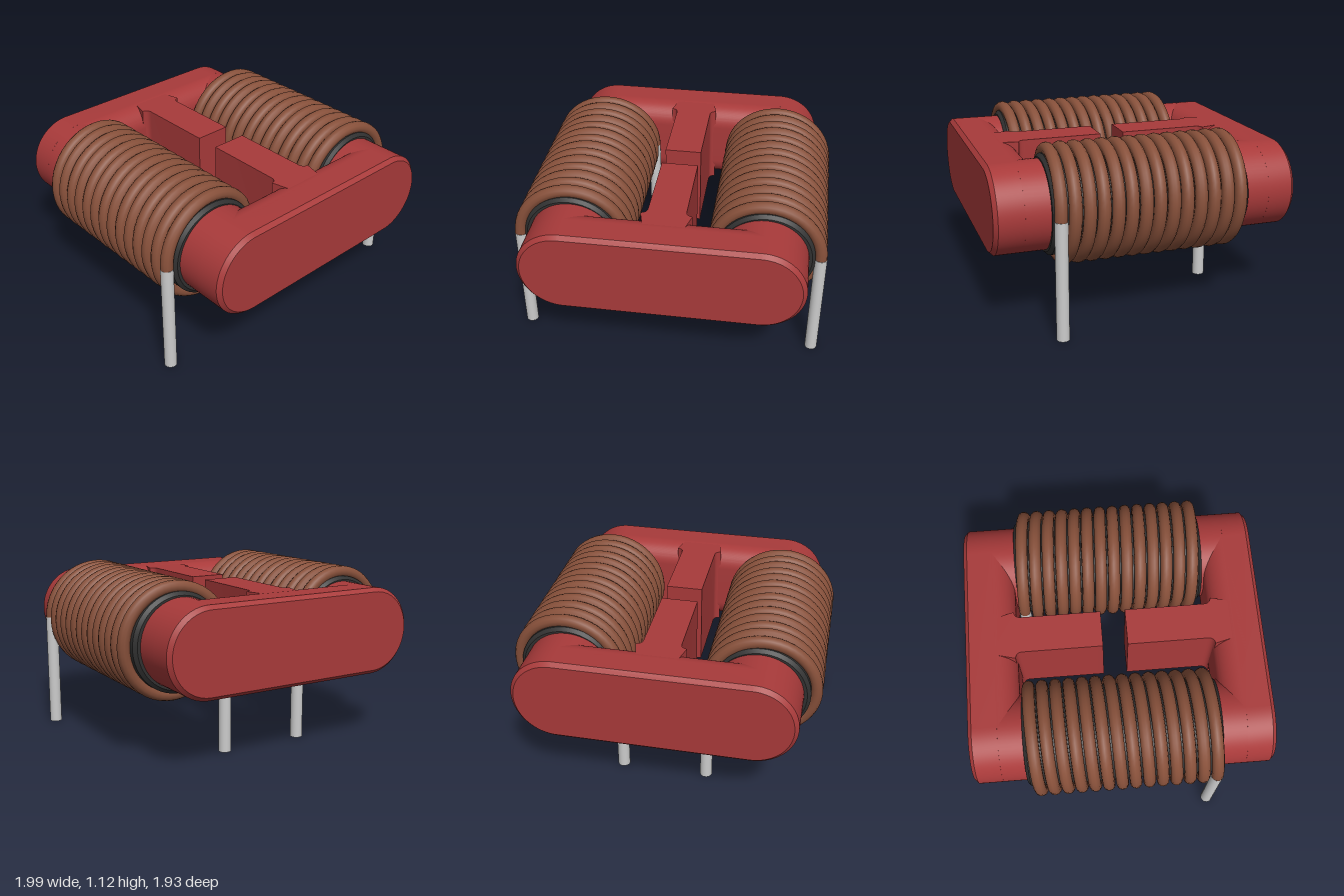
import * as THREE from 'three';
import { toCreasedNormals } from 'three/addons/utils/BufferGeometryUtils.js';

const Y = 0.745;        // height of the core axis
const R = 0.28;         // core end radius
const CORE_X = 0.605;   // core end centres
const COIL_X = 0.62;    // coil axes
const COIL_R = 0.337;   // radius of the wire centre line
const WIRE = 0.04;
const COIL_Z = 0.59;
const TURNS = 13.5;

const red = new THREE.MeshStandardMaterial({ color: 0xa83a3a });
const copper = new THREE.MeshStandardMaterial({ color: 0x87503a, side: THREE.DoubleSide });
const dark = new THREE.MeshStandardMaterial({ color: 0x303030 });
const grey = new THREE.MeshStandardMaterial({ color: 0xcccccc });

function add(parent, name, geometry, material, x = 0, y = 0, z = 0) {
  const mesh = new THREE.Mesh(geometry, material);
  mesh.name = name;
  mesh.position.set(x, y, z);
  parent.add(mesh);
  return mesh;
}

const smooth = (geometry) => toCreasedNormals(geometry, 0.5);

// Helical winding, starting on the outer side and ending on the inner side
class Helix extends THREE.Curve {
  constructor(side) {
    super();
    this.side = side;
  }
  getPoint(t, target = new THREE.Vector3()) {
    const a = t * TURNS * Math.PI * 2;
    return target.set(
      this.side * (COIL_X + COIL_R * Math.cos(a)),
      Y + COIL_R * Math.sin(a),
      COIL_Z * (1 - 2 * t)
    );
  }
}

// One E-shaped half of the core, with its back facing +z
function coreHalf(name) {
  const half = new THREE.Group();
  half.name = name;

  // stadium-shaped end bar with a bevelled outer rim
  const stadium = new THREE.Shape();
  stadium.absarc(CORE_X, 0, R, -Math.PI / 2, Math.PI / 2);
  stadium.absarc(-CORE_X, 0, R, Math.PI / 2, Math.PI * 1.5);
  stadium.closePath();
  const bar = new THREE.ExtrudeGeometry(stadium, {
    depth: 0.16, bevelThickness: 0.025, bevelSize: 0.025, bevelOffset: -0.025,
    bevelSegments: 1, curveSegments: 32
  });
  add(half, 'endBar', smooth(bar), red, 0, Y, 0.78);

  // inner side of the bar, rounded above and below
  const r = 0.14;
  const inner = new THREE.Shape();
  inner.moveTo(0.9, -R);
  inner.lineTo(0.9, R);
  inner.lineTo(0.64 + r, R);
  inner.absarc(0.64 + r, R - r, r, Math.PI / 2, Math.PI);
  inner.absarc(0.64 + r, -R + r, r, Math.PI, Math.PI * 1.5);
  inner.closePath();
  const innerGeo = new THREE.ExtrudeGeometry(inner, {
    depth: CORE_X * 2, bevelEnabled: false, curveSegments: 12
  });
  innerGeo.rotateY(-Math.PI / 2);
  add(half, 'barInnerSide', smooth(innerGeo), red, CORE_X, Y, 0);

  // round outer legs entering the coils
  for (const s of [-1, 1]) {
    const leg = new THREE.CylinderGeometry(R, R, 0.32, 64);
    leg.rotateX(Math.PI / 2);
    add(half, 'roundLeg', leg, red, s * CORE_X, Y, 0.76);
  }

  // centre leg with small fillets where it meets the bar
  const w = 0.12, f = 0.04;
  const plan = new THREE.Shape();
  plan.moveTo(-w, 0.08);
  plan.lineTo(w, 0.08);
  plan.lineTo(w, 0.64 - f);
  plan.quadraticCurveTo(w, 0.64, w + f, 0.645);
  plan.lineTo(w, 0.8);
  plan.lineTo(-w, 0.8);
  plan.lineTo(-w - f, 0.645);
  plan.quadraticCurveTo(-w, 0.64, -w, 0.64 - f);
  plan.closePath();
  const depth = 2 * R - 0.004;
  const centre = new THREE.ExtrudeGeometry(plan, { depth, bevelEnabled: false, curveSegments: 6 });
  centre.rotateX(Math.PI / 2);
  add(half, 'centreLeg', smooth(centre), red, 0, Y + depth / 2, 0);
  return half;
}

// Winding, bobbin and two pins on one side
function coil(side, name) {
  const group = new THREE.Group();
  group.name = name;
  add(group, 'winding', new THREE.TubeGeometry(new Helix(side), 648, WIRE, 12), copper);

  const profile = [[0, -0.625], [0.29, -0.625], [0.312, -0.605], [0.312, 0.605], [0.29, 0.625], [0, 0.625]]
    .map(([x, y]) => new THREE.Vector2(x, y));
  const bobbin = new THREE.LatheGeometry(profile, 64);
  bobbin.rotateX(Math.PI / 2);
  add(group, 'bobbin', smooth(bobbin), dark, side * 0.615, Y, 0);

  for (const end of [1, -1]) {
    add(group, end > 0 ? 'outerPin' : 'innerPin', new THREE.CylinderGeometry(WIRE, WIRE, Y, 24), grey,
      side * (COIL_X + end * COIL_R), Y / 2, end * COIL_Z);
  }
  return group;
}

export function createModel() {
  const model = new THREE.Group();
  model.name = 'chokeInductor';
  model.add(coreHalf('frontCore'));
  const back = coreHalf('backCore');
  back.rotation.y = Math.PI;
  model.add(back);
  model.add(coil(1, 'leftCoil'), coil(-1, 'rightCoil'));
  return model;
}
